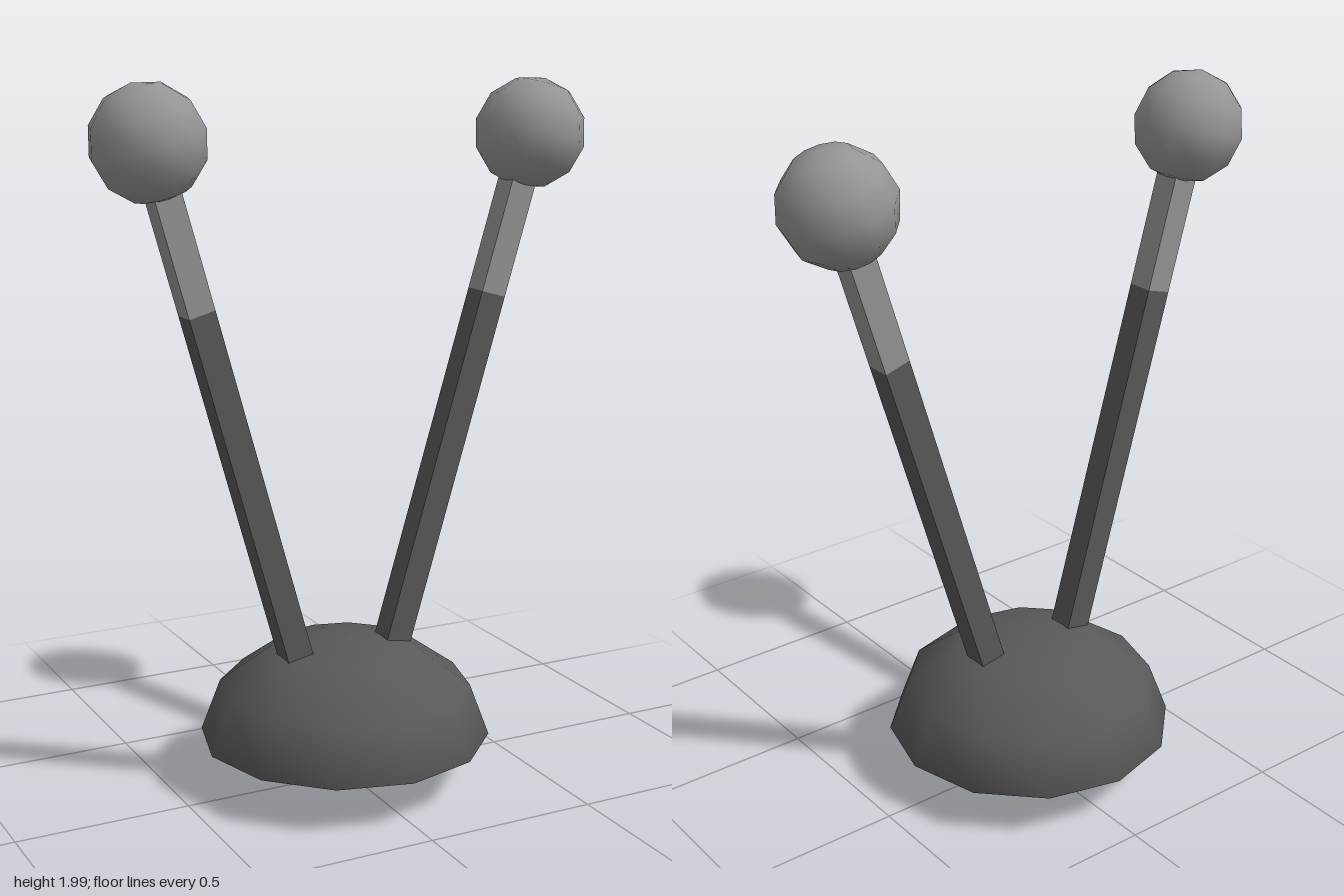
import * as THREE from 'three';

const darkGrey = new THREE.MeshStandardMaterial({ color: 0x595959, side: THREE.DoubleSide });
darkGrey.name = 'dark grey';
const lightGrey = new THREE.MeshStandardMaterial({ color: 0x959595 });
lightGrey.name = 'light grey';

function part(name, geometry, material, y) {
  const mesh = new THREE.Mesh(geometry, material);
  mesh.name = name;
  mesh.position.y = y;
  return mesh;
}

// Square rod in two colours with a ball tip, leaning from foot (x, y) towards tip (x, y)
function antenna(name, foot, tip) {
  const width = 0.077, split = 1.435;
  const dx = tip[0] - foot[0], dy = tip[1] - foot[1];
  const length = Math.hypot(dx, dy);
  const upper = length - 0.13 - split;
  const group = new THREE.Group();
  group.name = name;
  group.add(
    part('lowerRod', new THREE.BoxGeometry(width, split, width), darkGrey, split / 2),
    part('upperRod', new THREE.BoxGeometry(width, upper, width), lightGrey, split + upper / 2),
    part('ballTip', new THREE.SphereGeometry(0.157, 12, 6), lightGrey, length),
  );
  group.position.set(foot[0], foot[1], 0.011);
  group.rotation.z = -Math.atan2(dx, dy);
  return group;
}

export function createModel() {
  const model = new THREE.Group();
  model.name = 'antennaPair';

  // Hollow half-dome base, open underneath
  const domeGeometry = new THREE.SphereGeometry(0.416, 12, 3, 0, Math.PI * 2, 0, Math.PI / 2);
  domeGeometry.scale(1, 0.298 / 0.416, 1);
  const dome = part('domeBase', domeGeometry, darkGrey, 0.14);
  dome.position.x = -0.01;
  model.add(dome);

  // The two leaning antennas, whose feet reach below the dome
  model.add(
    antenna('rightAntenna', [-0.063, 0.018], [-0.576, 1.847]),
    antenna('leftAntenna', [0.024, 0.018], [0.572, 1.836]),
  );
  return model;
}
